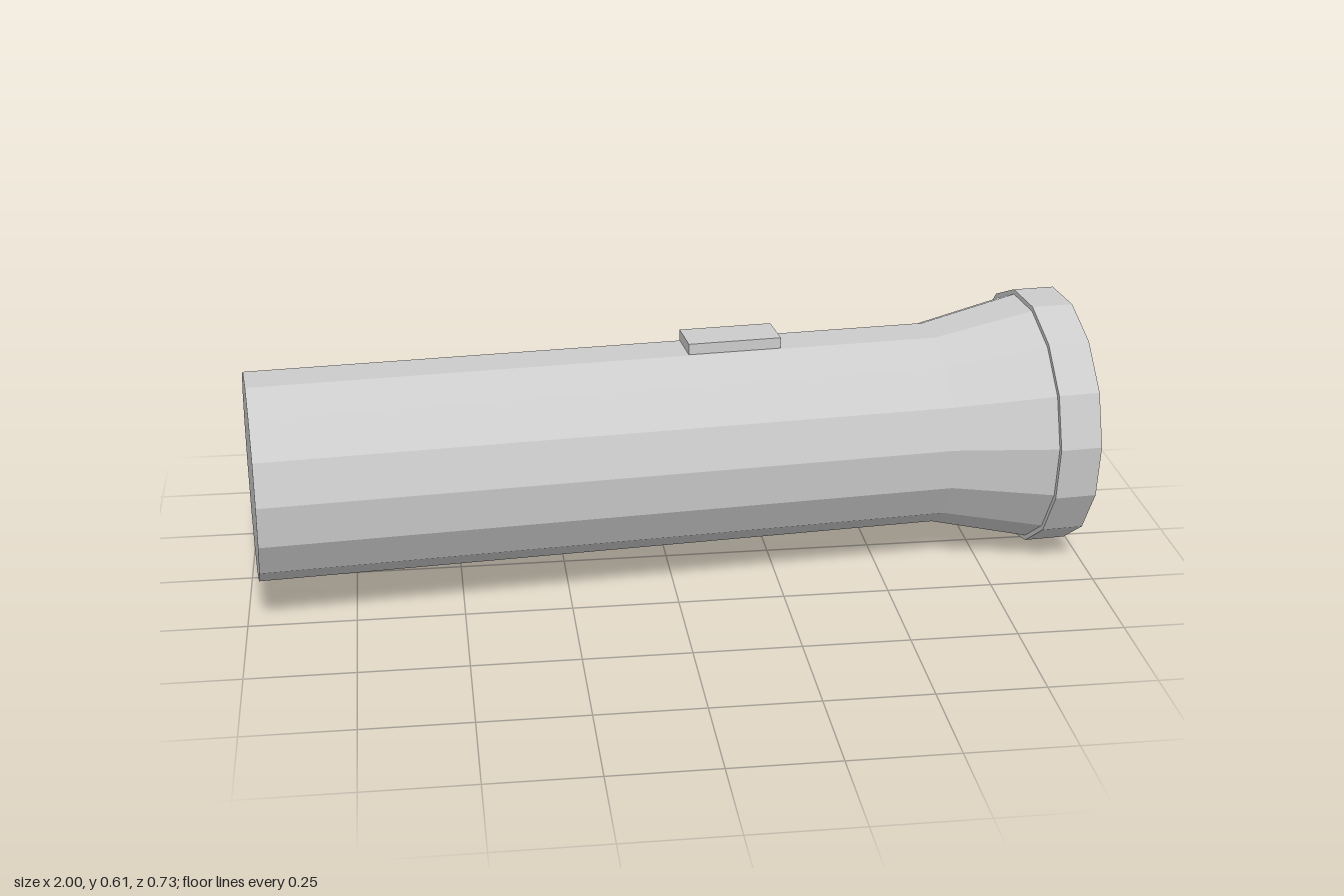
import * as THREE from 'three';

const SIDES = 15;

// Revolves [station, radius] pairs about the x axis, with a flat facet on top
function turned(profile) {
  const points = profile.map(([s, r]) => new THREE.Vector2(r, s));
  return new THREE.LatheGeometry(points, SIDES).rotateX(Math.PI / 2).rotateY(Math.PI / 2);
}

function addPart(group, name, geometry, side = THREE.FrontSide) {
  const material = new THREE.MeshStandardMaterial({ color: 0xcccccc, flatShading: true, side });
  const mesh = new THREE.Mesh(geometry, material);
  mesh.name = name;
  group.add(mesh);
  return mesh;
}

export function createModel() {
  const model = new THREE.Group();
  model.name = 'flashlight';

  // The torch is built along +x from its rear end, then turned slightly
  const torch = new THREE.Group();
  torch.name = 'torch';
  torch.position.set(-0.977, 0.3205, 0.12);
  torch.rotation.set(0, 0.092, -0.0055);
  model.add(torch);

  // Handle with closed rear end
  addPart(torch, 'handle', turned([[0, 0], [0, 0.243], [1.619, 0.243]]));

  // Flared neck
  addPart(torch, 'neck', turned([[1.619, 0.243], [1.855, 0.298]]));

  // Recessed lens
  addPart(torch, 'lens', turned([[1.855, 0.298], [1.855, 0]]));

  // Thin open rim with a small step at its back
  addPart(torch, 'rim', turned([[1.855, 0.298], [1.855, 0.3095], [1.955, 0.3095]]), THREE.DoubleSide);

  // Switch on the top facet
  const button = addPart(torch, 'switch', new THREE.BoxGeometry(0.221, 0.04, 0.1));
  button.position.set(1.131, 0.2437, -0.004);

  return model;
}
